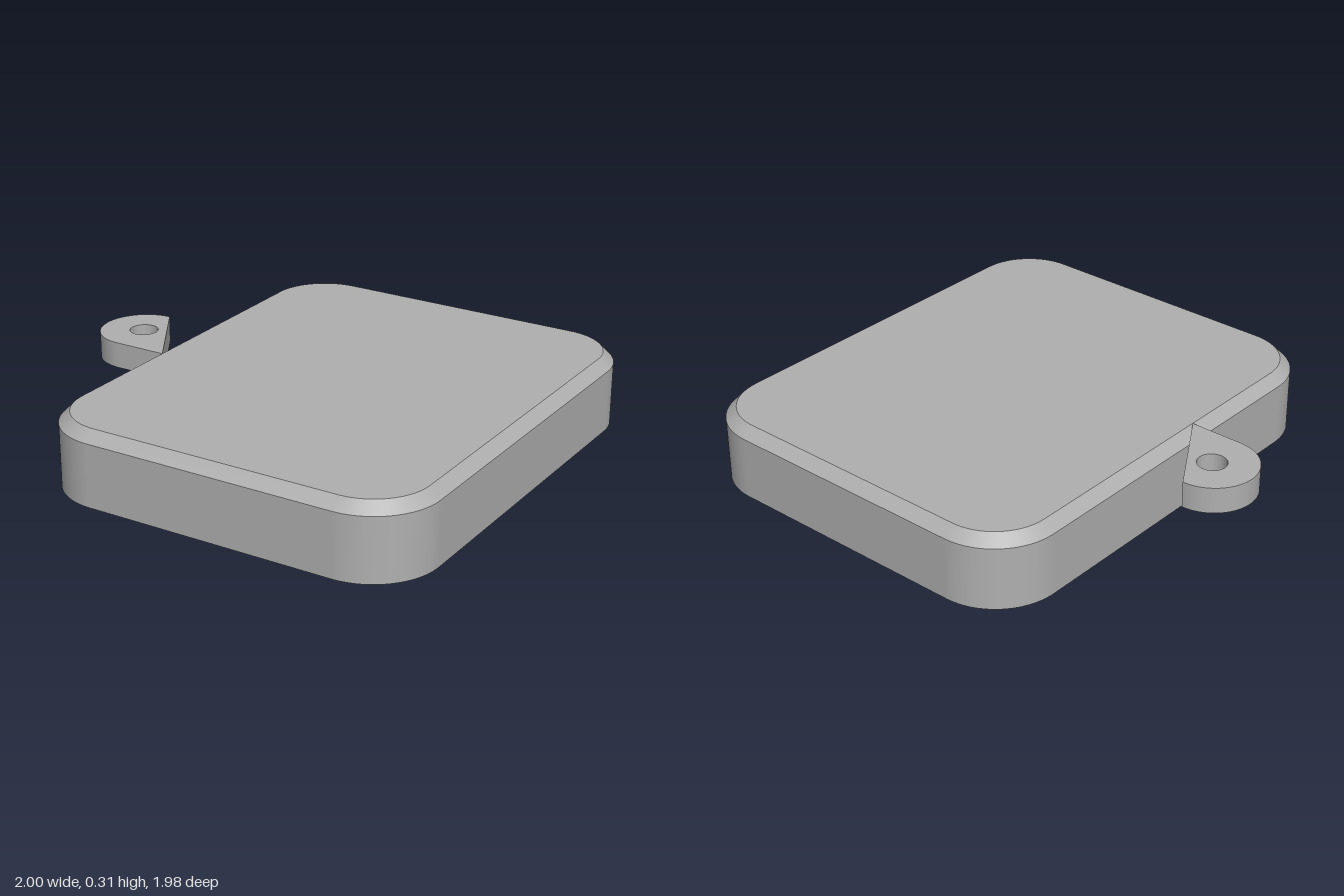
import * as THREE from 'three';
import { mergeGeometries, toCreasedNormals } from 'three/addons/utils/BufferGeometryUtils.js';

const SEG = 20;

// Rounded rectangle in plan, given half extents and corner radius
function roundedRect(cx, hx, hz, r) {
  const s = new THREE.Shape();
  const a = hx - r, b = hz - r, q = Math.PI / 2;
  s.absarc(cx + a, b, r, 0, q);
  s.absarc(cx - a, b, r, q, 2 * q);
  s.absarc(cx - a, -b, r, 2 * q, 3 * q);
  s.absarc(cx + a, -b, r, 3 * q, 4 * q);
  s.closePath();
  return s;
}

function circle(cx, r) {
  const s = new THREE.Shape();
  s.absarc(cx, 0, r, 0, Math.PI * 2);
  return s;
}

function outline(shape) {
  const pts = shape.getPoints(SEG);
  return pts.filter((p, i) => p.distanceTo(pts[(i + 1) % pts.length]) > 1e-6);
}

// Closed wall from one plan loop to another; faces outward when y1 > y0
function wall(shape0, y0, shape1, y1) {
  const a = outline(shape0), b = outline(shape1), n = a.length;
  const pos = [], index = [];
  for (let i = 0; i < n; i++) {
    pos.push(a[i].x, y0, -a[i].y, b[i].x, y1, -b[i].y);
    const p = 2 * i, q = 2 * ((i + 1) % n);
    index.push(p, q, q + 1, p, q + 1, p + 1);
  }
  const g = new THREE.BufferGeometry();
  g.setAttribute('position', new THREE.Float32BufferAttribute(pos, 3));
  g.setIndex(index);
  g.computeVertexNormals();
  return g;
}

// Flat horizontal face, looking up (1) or down (-1)
function cap(shape, y, facing) {
  const g = new THREE.ShapeGeometry(shape, SEG);
  g.rotateX(-facing * Math.PI / 2).translate(0, y, 0);
  g.deleteAttribute('uv');
  return g;
}

export function createModel() {
  const group = new THREE.Group();
  const grey = new THREE.MeshStandardMaterial({ color: 0xb0b0b0 });
  grey.name = 'grey';
  const add = (name, geometry) => {
    const mesh = new THREE.Mesh(geometry, grey);
    mesh.name = name;
    group.add(mesh);
  };

  const cx = 0.185, height = 0.31, bevel = 0.045;
  const side = roundedRect(cx, 0.815, 0.99, 0.28);
  const top = roundedRect(cx, 0.815 - bevel, 0.99 - bevel, 0.28 - bevel);

  // Recesses in the underside: a long slot and two round sockets
  const recesses = [
    { name: 'slot', shape: roundedRect(cx, 0.285, 0.915, 0.17), depth: 0.21 },
    { name: 'leftSocket', shape: circle(cx + 0.63, 0.117), depth: 0.1 },
    { name: 'rightSocket', shape: circle(cx - 0.63, 0.117), depth: 0.1 },
  ];

  // Block with bevelled top edge
  const base = side.clone();
  base.holes = recesses.map((r) => r.shape);
  add('body', mergeGeometries([
    wall(side, 0, side, height - bevel),
    wall(side, height - bevel, top, height),
    cap(top, height, 1),
    cap(base, 0, -1),
  ]));
  for (const { name, shape, depth } of recesses) {
    add(name, mergeGeometries([wall(shape, depth, shape, 0), cap(shape, depth, -1)]));
  }

  // Hanging tab with a through hole, flush with the top
  const tabEnd = -0.815, tabHalf = 0.185, tabThick = 0.11;
  const tab = new THREE.Shape();
  tab.moveTo(cx - 0.815 + bevel, tabHalf);
  tab.absarc(tabEnd, 0, tabHalf, Math.PI / 2, Math.PI * 1.5);
  tab.lineTo(cx - 0.815 + bevel, -tabHalf);
  tab.closePath();
  tab.holes.push(circle(tabEnd, 0.06));
  const tabGeo = new THREE.ExtrudeGeometry(tab, { depth: tabThick, bevelEnabled: false, curveSegments: 32 });
  tabGeo.rotateX(-Math.PI / 2).translate(0, height - tabThick, 0);
  add('tab', toCreasedNormals(tabGeo, 0.6));

  return group;
}
